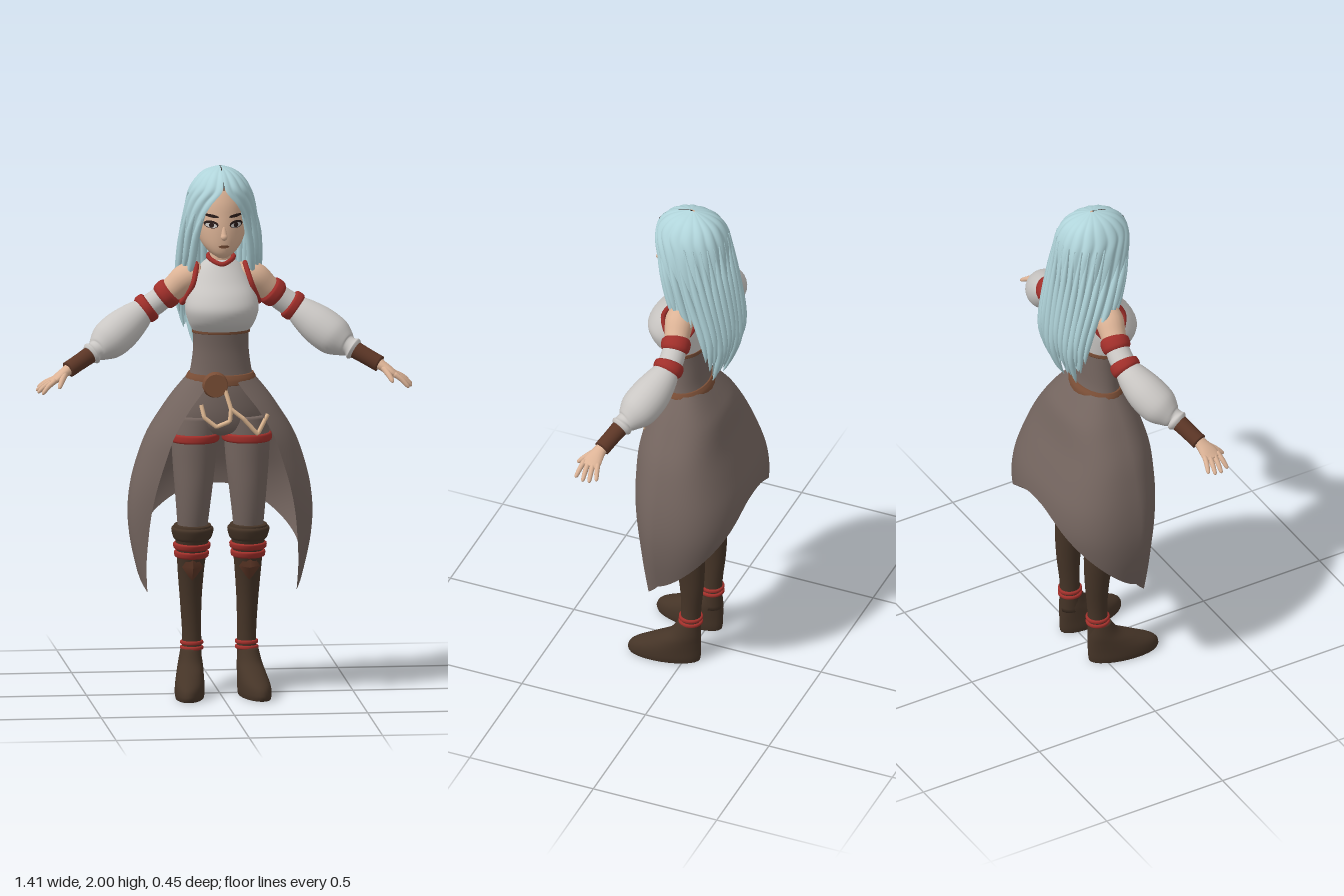
import * as THREE from 'three';

const paint = (name, color) => Object.assign(new THREE.MeshStandardMaterial({ color }), { name });

// Catmull-Rom resampling of rows of numbers
function smooth(rows, n = 5) {
  const out = [], last = rows.length - 1;
  for (let i = 0; i < last; i++) {
    const [a, b, c, d] = [i - 1, i, i + 1, i + 2].map(k => rows[Math.min(last, Math.max(0, k))]);
    for (let s = 0; s < n; s++) {
      const t = s / n;
      out.push(b.map((_, k) => 0.5 * (2 * b[k] + (c[k] - a[k]) * t + (2 * a[k] - 5 * b[k] + 4 * c[k] - d[k]) * t * t
        + (3 * b[k] - a[k] - 3 * c[k] + d[k]) * t * t * t)));
    }
  }
  out.push(rows[last]);
  return out;
}

// Value of a resampled table (first column descending) at y
function at(table, y) {
  if (y >= table[0][0]) return table[0];
  for (let i = 1; i < table.length; i++) {
    const a = table[i - 1], b = table[i];
    if (y >= b[0]) return a.map((v, k) => v + (b[k] - v) * (a[0] - y) / (a[0] - b[0]));
  }
  return table[table.length - 1];
}

function meshGeometry(points, index) {
  const g = new THREE.BufferGeometry();
  g.setAttribute('position', new THREE.Float32BufferAttribute(points.flatMap(p => [p.x, p.y, p.z]), 3));
  g.setIndex(index);
  g.computeVertexNormals();
  return g;
}

// Closed skin over rings of points, wound outwards
function skinRings(rings) {
  const n = rings[0].length, m = rings.length, pts = rings.flat(), index = [];
  for (let i = 0; i < m - 1; i++) for (let j = 0; j < n; j++) {
    const a = i * n + j, b = i * n + (j + 1) % n;
    index.push(a, b, b + n, a, b + n, a + n);
  }
  for (const [r, flip] of [[0, 1], [m - 1, 0]]) {
    const c = pts.length, mid = new THREE.Vector3();
    rings[r].forEach(p => mid.addScaledVector(p, 1 / n));
    pts.push(mid);
    for (let j = 0; j < n; j++) {
      const a = r * n + j, b = r * n + (j + 1) % n;
      index.push(...(flip ? [c, b, a] : [c, a, b]));
    }
  }
  let volume = 0;
  for (let i = 0; i < index.length; i += 3)
    volume += pts[index[i]].dot(new THREE.Vector3().crossVectors(pts[index[i + 1]], pts[index[i + 2]]));
  if (volume < 0) index.reverse();
  return meshGeometry(pts, index);
}

// Upright body part from rows [y, centreX, radiusX, frontZ, backZ]
const upright = (rows, seg = 28) => skinRings(smooth(rows).map(([y, cx, rx, zf, zb]) =>
  Array.from({ length: seg }, (_, j) => {
    const a = j / seg * Math.PI * 2;
    return new THREE.Vector3(cx + rx * Math.sin(a), y, (zf + zb) / 2 + (zf - zb) / 2 * Math.cos(a));
  })));

// Limb along rows [x, y, z, radius, flatness]
function limb(rows, seg = 16, n = 5) {
  const path = smooth(rows.map(([x, y, z, r, k = 1]) => [x, y, z, r, k]), n);
  const v = path.map(p => new THREE.Vector3(p[0], p[1], p[2]));
  return skinRings(path.map(([, , , r, k], i) => {
    const t = v[Math.min(i + 1, v.length - 1)].clone().sub(v[Math.max(i - 1, 0)]).normalize();
    const e = new THREE.Vector3(0, 0, 1).cross(t).normalize(), f = t.clone().cross(e);
    return Array.from({ length: seg }, (_, j) => {
      const a = j / seg * Math.PI * 2;
      return v[i].clone().addScaledVector(e, Math.cos(a) * r * k).addScaledVector(f, Math.sin(a) * r);
    });
  }));
}

// Point on an open wrap: rows [y, radiusX, centreZ, backZ, edgeX, edgeZ]; u = 0 at the back, +-1 at the front edges
function around(table, y, u, square = 1, groove = 0) {
  const [, rx, cz, zb, xe, ze] = at(table, y);
  const a0 = Math.asin(Math.min(0.97, xe / Math.max(rx, 1e-4)));
  const a = Math.PI - Math.abs(u) * (Math.PI - a0), c = Math.cos(a);
  const p = c < 0 ? square : 1, k = 1 + groove * (Math.abs(Math.sin(u * 24)) - 0.5);
  const depth = c < 0 ? zb - cz : (ze - cz) / Math.cos(a0);
  return new THREE.Vector3(k * Math.sign(u) * rx * Math.sin(a) ** p, y, cz + k * depth * Math.abs(c) ** p);
}

function wrap(table, top, hem, cols, rows, power, square, groove) {
  const pts = [], index = [];
  for (let i = 0; i <= rows; i++) for (let j = 0; j <= cols; j++) {
    const u = j / cols * 2 - 1;
    pts.push(around(table, top + (hem(u) - top) * (i / rows) ** power, u, square, groove));
    if (i && j) {
      const d = pts.length - 1, b = d - cols - 1;
      index.push(b - 1, d - 1, d, b - 1, d, b);
    }
  }
  return meshGeometry(pts, index);
}

const cord = (points, r, closed = false) => new THREE.TubeGeometry(new THREE.CatmullRomCurve3(
  points.map(p => new THREE.Vector3(...p)), closed, 'catmullrom', closed ? 0.5 : 0.05), 40, r, 8, closed);

function mirror(geo) {
  const g = geo.clone().scale(-1, 1, 1);
  g.setIndex([...g.index.array].reverse());
  return g;
}

export function createModel() {
  const model = new THREE.Group();
  model.name = 'woman';
  const hair = paint('pale blue hair', 0xb0d4da), skin = paint('skin', 0xdcb396), cloth = paint('white cloth', 0xcac7c4),
    grey = paint('grey brown cloth', 0x74655f), leather = paint('belt leather', 0x7a4e36), bracer = paint('bracer leather', 0x5c3626),
    boot = paint('boot leather', 0x453427), red = paint('red trim', 0xa02f2a), dark = paint('dark lines', 0x2b1d1a),
    tan = paint('tan cord', 0xe0b993);
  hair.side = grey.side = THREE.DoubleSide;
  const add = (name, geo, mat) => {
    const m = new THREE.Mesh(geo, mat);
    m.name = name;
    model.add(m);
  };
  const pair = (name, geo, mat) => {
    add('left' + name, geo, mat);
    add('right' + name, mirror(geo), mat);
  };

  // Head and face
  const headRows = [[1.97, 0, 0.04, 0.06, -0.03], [1.94, 0, 0.08, 0.11, -0.07], [1.88, 0, 0.1, 0.138, -0.09], [1.82, 0, 0.1, 0.147, -0.09],
    [1.77, 0, 0.094, 0.15, -0.07], [1.72, 0, 0.076, 0.147, -0.03], [1.685, 0, 0.048, 0.138, 0.02], [1.665, 0, 0.018, 0.12, 0.06]];
  add('head', upright(headRows, 36), skin);
  const headTable = smooth(headRows);
  const patch = (x, y, w, h, lift, tilt = 0) => {
    const g = new THREE.CircleGeometry(1, 20).scale(w, h, 1).rotateZ(tilt).translate(x, y, 0), p = g.attributes.position;
    for (let i = 0; i < p.count; i++) {
      const [, , rx, zf, zb] = at(headTable, p.getY(i));
      p.setZ(i, (zf + zb) / 2 + (zf - zb) / 2 * Math.sqrt(1 - (p.getX(i) / rx) ** 2) + lift);
    }
    g.computeVertexNormals();
    return g;
  };
  pair('EyeLine', patch(0.047, 1.797, 0.026, 0.0145, 0.002, 0.1), dark);
  pair('EyeWhite', patch(0.047, 1.794, 0.021, 0.009, 0.004, 0.1), cloth);
  pair('Iris', patch(0.046, 1.795, 0.009, 0.0095, 0.006), dark);
  pair('Eyebrow', patch(0.045, 1.829, 0.026, 0.006, 0.003, 0.15), dark);
  add('lips', patch(0, 1.713, 0.02, 0.006, 0.003), leather);
  add('nose', limb([[0, 1.79, 0.143, 0.006], [0, 1.76, 0.15, 0.011], [0, 1.748, 0.153, 0.013], [0, 1.738, 0.148, 0.004]], 12), skin);
  add('neck', upright([[1.73, 0, 0.042, 0.08, -0.03], [1.66, 0, 0.042, 0.07, -0.025], [1.6, 0, 0.06, 0.07, -0.03]]), skin);

  // Hair shell with grooves, then loose locks lying on it
  const hairTable = smooth([[2, 0.004, 0.02, 0.01, 0, 0.03], [1.985, 0.05, 0.02, -0.04, 0, 0.085], [1.96, 0.083, 0.02, -0.08, 0, 0.125],
    [1.92, 0.11, 0.02, -0.106, 0.008, 0.152], [1.87, 0.126, 0.02, -0.12, 0.048, 0.148], [1.8, 0.137, 0.018, -0.127, 0.08, 0.122],
    [1.7, 0.143, 0, -0.14, 0.095, 0.09], [1.6, 0.147, -0.025, -0.155, 0.11, 0.06], [1.5, 0.15, -0.06, -0.16, 0.12, 0],
    [1.4, 0.14, -0.07, -0.145, 0.11, -0.02], [1.28, 0.11, -0.06, -0.1, 0.09, -0.03]]);
  const hairHem = u => 1.36 + 0.24 * THREE.MathUtils.smoothstep(Math.abs(u), 0.4, 0.62) + 0.03 * Math.sin(u * 43);
  add('hairShell', wrap(hairTable, 2, hairHem, 150, 40, 1.6, 0.9, 0.06), hair);
  const lock = (u, tip, r, start = 1.9) => limb([0, 0.35, 0.7, 0.9, 1].map((t, i) => {
    const p = around(hairTable, start + (tip - start) * t, u, 0.9);
    return [p.x * 1.01, p.y, p.z - 0.002, r * [0.2, 0.9, 1, 0.6, 0.08][i]];
  }), 8, 4);
  for (let i = 0; i < 7; i++) pair('BackLock' + i, lock(0.04 + i * 0.078, 1.3 + 0.035 * (i * 3 % 4), 0.016), hair);
  [[0.6, 1.42], [0.72, 1.56], [0.86, 1.6], [0.97, 1.57]].forEach(([u, tip], i) => pair('SideLock' + i, lock(u, tip, 0.015, 1.86), hair));
  add('hairParting', cord([0.155, 0.12, 0.07, 0.02].map((z, i) => [0, [1.925, 1.963, 1.99, 2][i], z]), 0.002), dark);

  // Torso
  add('bodice', upright([[1.65, 0, 0.048, 0.074, -0.03], [1.62, 0, 0.082, 0.092, -0.035], [1.57, 0, 0.11, 0.128, -0.04],
    [1.52, 0, 0.13, 0.168, -0.04], [1.47, 0, 0.138, 0.187, -0.038], [1.42, 0, 0.125, 0.168, -0.035], [1.385, 0, 0.108, 0.128, -0.032]], 36), cloth);
  add('underbustTrim', upright([[1.392, 0, 0.11, 0.13, -0.035], [1.376, 0, 0.109, 0.128, -0.035]]), leather);
  add('collar', cord([[0, 1.636, 0.085], [0.048, 1.66, 0.04], [0, 1.67, -0.03], [-0.048, 1.66, 0.04]], 0.009, true), red);
  pair('ArmholeTrim', cord([[0.092, 1.632, 0.03], [0.108, 1.57, 0.09], [0.138, 1.5, 0.06], [0.143, 1.49, 0.01], [0.118, 1.56, -0.035]], 0.01, true), red);
  add('waist', upright([[1.39, 0, 0.105, 0.123, -0.03], [1.32, 0, 0.104, 0.115, -0.035], [1.25, 0, 0.112, 0.115, -0.04], [1.2, 0, 0.123, 0.118, -0.05]]), grey);
  add('shorts', upright([[1.22, 0, 0.118, 0.115, -0.045], [1.15, 0, 0.152, 0.125, -0.07], [1.07, 0, 0.172, 0.125, -0.075],
    [1.01, 0, 0.15, 0.11, -0.07], [0.985, 0, 0.07, 0.07, -0.03]]), grey);

  // Belt, buckle and hanging cord
  add('belt', upright([[1.232, 0, 0.122, 0.122, -0.05], [1.215, 0, 0.131, 0.13, -0.058], [1.195, 0, 0.135, 0.133, -0.06]]).rotateX(0.05).translate(0, -0.005, -0.06), leather);
  add('buckle', new THREE.CylinderGeometry(0.043, 0.049, 0.026, 28).rotateX(Math.PI / 2).translate(-0.03, 1.187, 0.135), leather);
  add('hipCord', cord([[-0.085, 1.115, 0.145], [-0.075, 1.07, 0.16], [-0.03, 1.035, 0.165], [0.02, 1.055, 0.165], [0.025, 1.1, 0.16], [0.005, 1.17, 0.14]], 0.008), tan);
  add('sideCord', cord([[0.025, 1.1, 0.16], [0.07, 1.065, 0.165], [0.125, 1.005, 0.16], [0.165, 1.075, 0.14]], 0.008), tan);

  // Open overskirt with long front points
  const skirtTable = smooth([[1.215, 0.122, 0.035, -0.045, 0.04, 0.118], [1.15, 0.175, 0.035, -0.09, 0.085, 0.135], [1.1, 0.21, 0.035, -0.12, 0.125, 0.146],
    [1, 0.272, 0.03, -0.15, 0.185, 0.157], [0.9, 0.31, 0.03, -0.188, 0.22, 0.155], [0.8, 0.335, 0.03, -0.22, 0.25, 0.146],
    [0.7, 0.345, 0.03, -0.228, 0.27, 0.13], [0.6, 0.338, 0.03, -0.21, 0.28, 0.112], [0.5, 0.318, 0.03, -0.18, 0.285, 0.095], [0.4, 0.292, 0.03, -0.15, 0.28, 0.08]]);
  const skirtHem = u => { const a = Math.hypot(u, 0.08); return 0.8 - 0.54 * a + 0.14 * a * a; };
  add('overskirt', wrap(skirtTable, 1.215, skirtHem, 80, 28, 1, 0.72, 0), grey);

  // Legs and boots
  const legRows = [[1.06, 0.088, 0.088, 0.118, -0.06], [0.98, 0.098, 0.086, 0.122, -0.06], [0.88, 0.1, 0.08, 0.118, -0.052],
    [0.78, 0.102, 0.07, 0.112, -0.045], [0.68, 0.104, 0.06, 0.098, -0.04], [0.58, 0.105, 0.05, 0.075, -0.045]];
  const bootRows = [[0.645, 0.105, 0.069, 0.112, -0.056], [0.625, 0.105, 0.072, 0.112, -0.062], [0.59, 0.105, 0.063, 0.098, -0.066],
    [0.53, 0.106, 0.055, 0.072, -0.07], [0.45, 0.107, 0.048, 0.045, -0.073], [0.34, 0.106, 0.04, 0.025, -0.068], [0.22, 0.103, 0.036, 0.02, -0.056], [0.1, 0.104, 0.038, 0.03, -0.056]];
  const ring = (rows, y, h, grow) => {
    const table = smooth(rows);
    return upright([-1, -0.6, 0.6, 1].map((s, i) => {
      const [yy, cx, rx, zf, zb] = at(table, y - s * h / 2), g = i % 3 ? grow : grow * 0.3;
      return [yy, cx, rx + g, zf + g, zb - g];
    }));
  };
  pair('Leg', upright(legRows), grey);
  pair('ThighBand', ring(legRows, 0.978, 0.032, 0.008), red);
  pair('Boot', upright(bootRows), boot);
  pair('BootCuff', ring(bootRows, 0.612, 0.05, 0.007), boot);
  [[0.562, 0.026, 0.01], [0.53, 0.026, 0.009], [0.192, 0.014, 0.007], [0.172, 0.014, 0.007]]
    .forEach(([y, h, g], i) => pair('BootStrap' + i, ring(bootRows, y, h, g), red));
  const shin = new THREE.CylinderGeometry(0.001, 0.05, 0.02, 4, 1).rotateX(Math.PI / 2).scale(0.8, 1.2, 1).rotateX(0.2).translate(0.107, 0.485, 0.06);
  pair('ShinDiamond', shin, bracer);
  pair('Foot', upright([[0.17, 0, 0.037, 0.03, -0.05], [0.12, 0, 0.046, 0.065, -0.056], [0.085, 0, 0.051, 0.135, -0.058], [0.05, 0, 0.055, 0.205, -0.058],
    [0.02, 0, 0.056, 0.223, -0.057], [0, 0, 0.053, 0.218, -0.054]]).rotateY(0.14).translate(0.11, 0, 0), boot);

  // Arms
  pair('UpperArm', limb([[0.07, 1.59, 0.02, 0.045], [0.125, 1.578, 0.018, 0.054], [0.17, 1.54, 0.01, 0.048], [0.22, 1.495, 0, 0.042], [0.3, 1.45, 0.005, 0.04]], 20), skin);
  pair('UpperArmWrap', limb([[0.195, 1.518, 0.004, 0.044], [0.24, 1.483, 0.001, 0.046], [0.285, 1.455, 0.002, 0.046]], 20), cloth);
  pair('UpperArmBand', limb([[0.18, 1.53, 0.007, 0.047], [0.19, 1.522, 0.005, 0.055], [0.21, 1.506, 0.003, 0.054], [0.22, 1.498, 0.002, 0.046]], 20), red);
  pair('LowerArmBand', limb([[0.258, 1.473, 0.001, 0.047], [0.265, 1.468, 0.001, 0.056], [0.285, 1.455, 0.002, 0.056], [0.294, 1.449, 0.003, 0.046]], 20), red);
  pair('PuffSleeve', limb([[0.28, 1.46, 0.001, 0.044], [0.315, 1.432, 0.012, 0.06], [0.37, 1.39, 0.035, 0.074], [0.425, 1.35, 0.063, 0.072],
    [0.463, 1.325, 0.085, 0.048], [0.478, 1.318, 0.095, 0.036], [0.49, 1.311, 0.1, 0.043], [0.5, 1.305, 0.105, 0.034]], 24), cloth);
  pair('Bracer', limb([[0.49, 1.311, 0.1, 0.033], [0.54, 1.283, 0.122, 0.031], [0.585, 1.258, 0.141, 0.031]], 20), bracer);
  pair('Palm', limb([[0.575, 1.264, 0.137, 0.022], [0.6, 1.248, 0.148, 0.027, 0.7], [0.63, 1.228, 0.158, 0.036, 0.42], [0.652, 1.214, 0.163, 0.031, 0.36]], 16), skin);
  [[0.135, 0.697, 1.19, 0.118], [0.153, 0.705, 1.182, 0.143], [0.172, 0.703, 1.178, 0.17], [0.188, 0.69, 1.178, 0.202]].forEach(([z, x, y, tip], i) =>
    pair('Finger' + i, limb([[0.635, 1.226, z, 0.01], [(0.635 + x) / 2, (1.226 + y) / 2 + 0.004, (z + tip) / 2, 0.0095], [x - 0.006, y + 0.004, tip, 0.007], [x, y, tip, 0.001]], 10, 3), skin));
  pair('Thumb', limb([[0.598, 1.246, 0.165, 0.012], [0.613, 1.226, 0.193, 0.011], [0.624, 1.206, 0.216, 0.008], [0.626, 1.2, 0.223, 0.001]], 10, 3), skin);
  return model;
}
